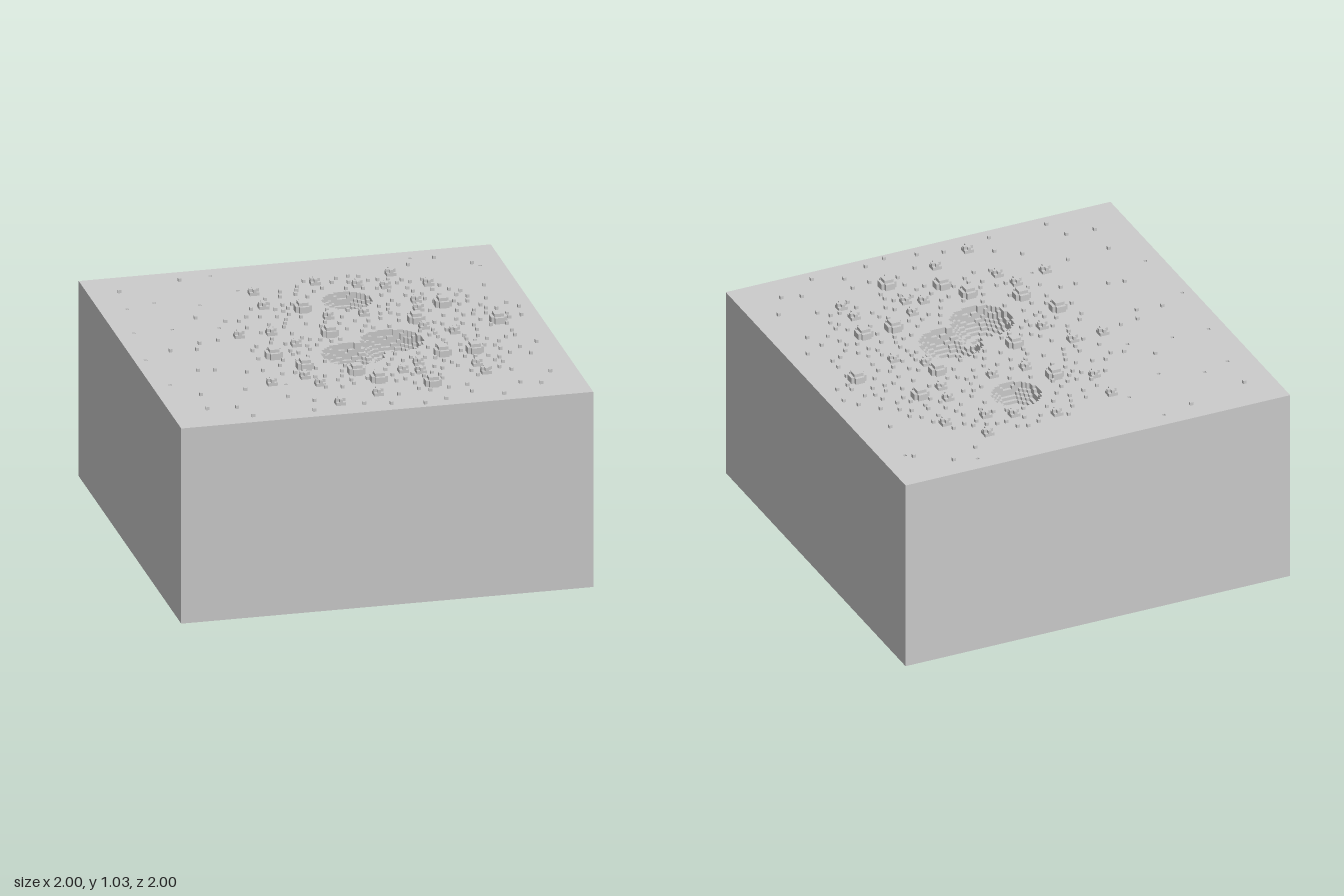
import * as THREE from 'three';
import { mergeGeometries } from 'three/addons/utils/BufferGeometryUtils.js';

const N = 128, V = 2 / N, GROUND = 63; // cells per side, cell size, ground height in cells
const material = new THREE.MeshStandardMaterial({ color: 0xcccccc, flatShading: true });
const cell = (v) => Math.floor((v + 1) / V); // position to cell index
const edge = (i) => i * V - 1; // cell index to position of its lower edge

// x, z, radius in cells
const craters = [[0.168, -0.443, 7], [0.03, 0.235, 9], [0.235, 0.118, 9]];
const pits = [[-0.95, 0.08], [-0.91, -0.27], [-0.91, 0.43], [-0.87, -0.58], [-0.72, -0.64],
  [-0.72, -0.28], [-0.52, -0.56], [-0.51, -0.24], [-0.31, -0.7], [-0.39, -0.92], [-0.39, 0.56],
  [0.58, -0.91], [0.88, -0.75]];
const boulders = [[-0.35, 0.2], [-0.25, 0.36], [-0.07, -0.37], [-0.02, -0.02], [-0.02, 0.49],
  [0.05, 0.62], [0.29, 0.73], [0.42, -0.1], [0.43, 0.35], [0.58, 0.35], [0.58, -0.27], [0.79, -0.01]];
const rocks = [[0.075, -0.695], [-0.235, -0.636], [0.45, -0.72], [0.25, -0.62], [0.38, -0.567],
  [0.59, -0.55], [-0.25, -0.44], [0.476, -0.353], [0.02, -0.235], [0.19, -0.235], [0.46, -0.246],
  [-0.44, -0.096], [-0.294, -0.096], [-0.21, 0.075], [0.433, -0.01], [0.56, 0.09], [-0.28, 0.49],
  [-0.45, 0.535], [-0.225, 0.594], [0.19, 0.52], [0.294, 0.45], [0.278, 0.56], [0.55, 0.52],
  [0.578, 0.636], [0.005, 0.79], [-0.19, 0.86]];
const outerPebbles = [[-0.85, -0.81], [-0.54, -0.89], [0.7, -0.89], [0.55, -0.82], [0.85, -0.77],
  [-0.59, -0.38], [-0.46, -0.31], [-0.65, -0.05], [-0.68, 0.02], [-0.55, -0.07], [-0.81, 0.01],
  [-0.74, 0.29], [-0.67, 0.31], [-0.81, 0.6], [-0.82, 0.79], [-0.68, 0.8], [-0.64, 0.93],
  [-0.58, 0.59], [-0.52, 0.36], [-0.44, 0.36], [-0.33, 0.93], [-0.31, 0.81], [-0.42, 0.72],
  [0.04, 0.93], [0.19, 0.96], [0.58, 0.93], [0.7, 0.8], [0.79, 0.83], [0.86, 0.69], [0.84, 0.45],
  [0.9, 0.3], [0.89, -0.23], [0.93, -0.17], [0.91, -0.06], [0.8, 0.35], [0.7, 0.64],
  [0.84, -0.47], [0.3, 0.93], [-0.09, 0.9], [0.45, 0.86]];

// Ground height in cells: stepped spherical craters and one-cell pits
function groundHeight(i, j) {
  if (i < 0 || j < 0 || i >= N || j >= N) return 0;
  let h = GROUND;
  for (const [x, z, r] of craters) {
    const d2 = (i - cell(x)) ** 2 + (j - cell(z)) ** 2, r2 = (r + 0.5) ** 2;
    if (d2 < r2) h = Math.min(h, GROUND - Math.floor(Math.sqrt(r2 - d2)));
  }
  if (pits.some(([x, z]) => cell(x) === i && cell(z) === j)) h = GROUND - 1;
  return h;
}

// Solid block with the stepped surface on top
function groundGeometry() {
  const pos = [];
  const quad = (a, b, c, d) => pos.push(...a, ...b, ...c, ...a, ...c, ...d);
  for (let j = -1; j < N; j++) {
    const z0 = edge(j), z1 = edge(j + 1);
    let start = 0;
    for (let i = -1; i < N; i++) {
      const h = groundHeight(i, j), hx = groundHeight(i + 1, j), hz = groundHeight(i, j + 1);
      const x0 = edge(i), x1 = edge(i + 1), y = h * V;
      // risers towards the next column and the next row
      if (h !== hx) quad([x1, hx * V, z0], [x1, y, z0], [x1, y, z1], [x1, hx * V, z1]);
      if (h !== hz) quad([x0, hz * V, z1], [x1, hz * V, z1], [x1, y, z1], [x0, y, z1]);
      // one tread for each run of equal height
      if (j >= 0 && i >= 0 && h !== hx) {
        const s = edge(start);
        quad([s, y, z0], [s, y, z1], [x1, y, z1], [x1, y, z0]);
      }
      if (h !== hx) start = i + 1;
    }
  }
  quad([-1, 0, -1], [1, 0, -1], [1, 0, 1], [-1, 0, 1]);
  const g = new THREE.BufferGeometry();
  g.setAttribute('position', new THREE.Float32BufferAttribute(pos, 3));
  g.computeVertexNormals();
  return g;
}

// Stepped dome of the given radius, one box per row of each layer
function domeGeometries(x, z, r) {
  const boxes = [], r2 = (r + 0.5) ** 2;
  for (let k = 0; k <= r; k++) {
    for (let dz = -r; dz <= r; dz++) {
      const rest = r2 - k * k - dz * dz;
      if (rest < 0) continue;
      const width = 2 * Math.floor(Math.sqrt(rest)) + 1;
      boxes.push(new THREE.BoxGeometry(width * V, V, V).translate(
        edge(cell(x) + 0.5), (GROUND + k + 0.5) * V, edge(cell(z) + dz + 0.5)));
    }
  }
  return boxes;
}

// Seeded scatter of pebbles, dense around the craters, kept clear of everything else
function scatterPebbles(count) {
  let seed = 7;
  const rand = () => (seed = (seed * 16807) % 2147483647) / 2147483647;
  const placed = [...outerPebbles];
  const clear = (list, x, z, gap) => list.every(([a, b, r = 0]) => Math.hypot(a - x, b - z) > gap + r * V);
  for (let t = 0; t < 8000 && placed.length < count; t++) {
    const a = rand() * Math.PI * 2, d = Math.pow(rand(), 0.6);
    const x = 0.2 + 0.66 * d * Math.cos(a), z = 0.04 + 0.8 * d * Math.sin(a);
    if (clear(craters, x, z, 0.03) && clear(boulders, x, z, 0.06) && clear(rocks, x, z, 0.05)
      && clear(placed, x, z, 0.045)) placed.push([x, z]);
  }
  return placed;
}

export function createModel() {
  const model = new THREE.Group();
  const add = (name, geometry) => {
    const mesh = new THREE.Mesh(geometry, material);
    mesh.name = name;
    model.add(mesh);
  };
  const addDomes = (name, spots, r) =>
    add(name, mergeGeometries(spots.flatMap(([x, z]) => domeGeometries(x, z, r))));

  add('crateredGround', groundGeometry());
  addDomes('boulders', boulders, 2);
  addDomes('rocks', rocks, 1);
  addDomes('pebbles', scatterPebbles(260), 0);
  return model;
}
